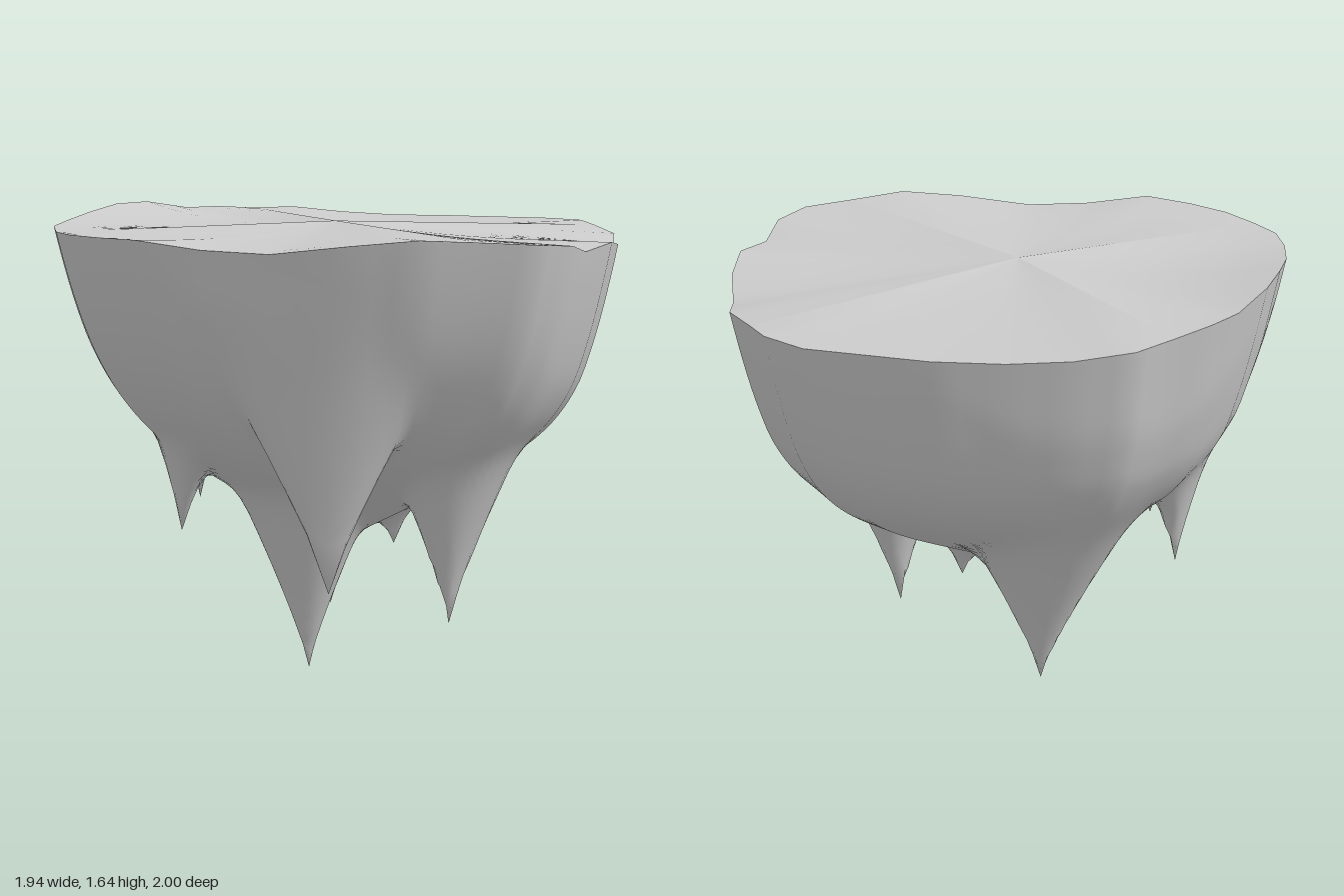
import * as THREE from 'three';

// Rim outline, counter-clockwise from the front: x, z, y
const RIM = [
  [-0.3, 1, 1.58], [-0.08, 0.95, 1.55], [0.14, 0.9, 1.54], [0.4, 0.85, 1.57], [0.61, 0.78, 1.59],
  [0.77, 0.65, 1.58], [0.92, 0.54, 1.57], [0.97, 0.38, 1.56], [0.95, 0.2, 1.53], [0.97, 0, 1.55],
  [0.92, -0.21, 1.53], [0.82, -0.45, 1.51], [0.76, -0.63, 1.54], [0.62, -0.8, 1.56], [0.53, -0.91, 1.57],
  [0.37, -0.99, 1.57], [-0.05, -1, 1.57], [-0.28, -0.96, 1.57], [-0.48, -0.91, 1.58], [-0.66, -0.83, 1.6],
  [-0.75, -0.67, 1.6], [-0.84, -0.54, 1.61], [-0.9, -0.4, 1.61], [-0.96, -0.2, 1.64], [-0.97, 0, 1.64],
  [-0.96, 0.2, 1.62], [-0.92, 0.42, 1.6], [-0.86, 0.6, 1.59], [-0.76, 0.74, 1.58], [-0.63, 0.86, 1.58],
  [-0.48, 0.94, 1.58],
];
const SUB = 3;
const COLS = RIM.length * SUB;
const ROWS = 44;
const CENTRE = new THREE.Vector3(-0.05, 1.6, 0.03);

// Hanging rock spikes: tip position and steepness outward, inward and sideways
const SPIKES = [
  { tip: [0.23, 0.4, 0.66], out: 4.8, inn: 3, side: 2 },
  { tip: [-0.46, 0.52, 0.43], out: 3.8, inn: 2, side: 1.2 },
  { tip: [-0.1, 0, 0.15], out: 2.4, inn: 2.5, side: 2.4 },
  { tip: [0.42, 0.2, 0.09], out: 2.5, inn: 3.4, side: 2.1 },
  { tip: [-0.22, 0.14, -0.27], out: 1.75, inn: 3, side: 2 },
  { tip: [-0.65, 0.55, -0.04], out: 3.4, inn: 2.6, side: 1.8 },
  { tip: [0.12, 0.43, -0.1], out: 1.5, inn: 1.2, side: 1.5 },
];

function rimPoint(col) {
  const k = col % COLS;
  const a = RIM[Math.floor(k / SUB)];
  const b = RIM[(Math.floor(k / SUB) + 1) % RIM.length];
  const f = (k % SUB) / SUB;
  const [x, z, y] = a.map((v, n) => v + (b[n] - v) * f);
  return new THREE.Vector3(x, y, z);
}

function smoothMin(a, b, k) {
  const h = Math.max(k - Math.abs(a - b), 0) / k;
  return Math.min(a, b) - h * h * k * 0.25;
}

function spikeHeight({ tip, out, inn, side }, x, z) {
  const r = Math.hypot(tip[0], tip[2]);
  const ux = tip[0] / r, uz = tip[2] / r;
  const dx = x - tip[0], dz = z - tip[2];
  const along = dx * ux + dz * uz;
  const across = dx * uz - dz * ux;
  return tip[1] + Math.hypot(along * (along > 0 ? out : inn), across * side) ** 0.85;
}

// Point of the underside at fraction s from the rim (0) to the centre (1)
function undersidePoint(col, s) {
  const rim = rimPoint(col);
  if (s === 0) return rim;
  const p = rim.clone().lerp(CENTRE, s);
  const wall = 0.1 + 0.06 * Math.max(0, rim.z);
  const top = THREE.MathUtils.lerp(rim.y, 1.57, s);
  p.y = top - 0.58 * (1 - Math.exp(-s / wall)) - 0.55 * s;
  for (const spike of SPIKES) p.y = smoothMin(p.y, spikeHeight(spike, p.x, p.z), 0.07);
  // The outer wall leans inward, never dropping straight down
  const d = Math.hypot(p.x - rim.x, p.z - rim.z);
  const lean = rim.y - 5 * d - 2 * d * d;
  p.y = -smoothMin(-p.y, -lean, Math.min(0.2, 2 * d));
  return p;
}

// Grid surface from a point rule; a closed one wraps around
function gridGeometry(cols, rows, closed, faceUp, point) {
  const positions = [], index = [];
  const stride = closed ? cols : cols + 1;
  for (let j = 0; j <= rows; j++) {
    for (let i = 0; i < stride; i++) positions.push(...point(i, j).toArray());
  }
  for (let j = 0; j < rows; j++) {
    for (let i = 0; i < cols; i++) {
      const n = closed ? (i + 1) % cols : i + 1;
      const a = j * stride + i, b = j * stride + n;
      const c = a + stride, d = b + stride;
      if (faceUp) index.push(a, b, d, a, d, c);
      else index.push(a, c, d, a, d, b);
    }
  }
  const geometry = new THREE.BufferGeometry();
  geometry.setAttribute('position', new THREE.Float32BufferAttribute(positions, 3));
  geometry.setIndex(index);
  return geometry;
}

// Pull the nearest vertex onto each tip so that the spikes end sharply
function sharpenTips(geometry) {
  const pos = geometry.attributes.position;
  for (const { tip } of SPIKES) {
    let best = 0, bestDistance = Infinity;
    for (let i = 0; i < pos.count; i++) {
      const d = Math.hypot(pos.getX(i) - tip[0], pos.getZ(i) - tip[2]);
      if (d < bestDistance) { bestDistance = d; best = i; }
    }
    pos.setXYZ(best, ...tip);
  }
}

export function createModel() {
  const group = new THREE.Group();
  group.name = 'floatingRock';
  const material = new THREE.MeshStandardMaterial({ color: 0xcccccc, side: THREE.DoubleSide });

  // Rocky underside with hanging spikes
  const under = gridGeometry(COLS, ROWS, true, false, (i, j) => undersidePoint(i, (j / ROWS) ** 1.4));
  sharpenTips(under);
  under.computeVertexNormals();
  const underside = new THREE.Mesh(under, material);
  underside.name = 'rockUnderside';
  group.add(underside);

  // Gently uneven top in four sectors, creased where they meet
  const corners = [5, 13, 20, 28, 5 + RIM.length];
  const top = new THREE.Group();
  top.name = 'topGround';
  for (let q = 0; q < 4; q++) {
    const start = corners[q] * SUB;
    const cols = (corners[q + 1] - corners[q]) * SUB;
    const rows = 10;
    const y0 = rimPoint(start).y, y1 = rimPoint(start + cols).y;
    const geometry = gridGeometry(cols, rows, false, true, (i, j) => {
      const s = j / rows;
      const rim = rimPoint(start + i);
      const p = rim.clone().lerp(CENTRE, s);
      // Rim bumps fade out toward the middle
      const even = THREE.MathUtils.lerp(y0, y1, i / cols);
      const sag = 0.025 * Math.sin(Math.PI * s) * Math.sin((Math.PI * i) / cols);
      p.y = THREE.MathUtils.lerp(even, CENTRE.y, s) + (rim.y - even) * (1 - s) ** 3 - sag;
      return p;
    });
    geometry.computeVertexNormals();
    const sector = new THREE.Mesh(geometry, material);
    sector.name = `topSector${q + 1}`;
    top.add(sector);
  }
  group.add(top);
  return group;
}
